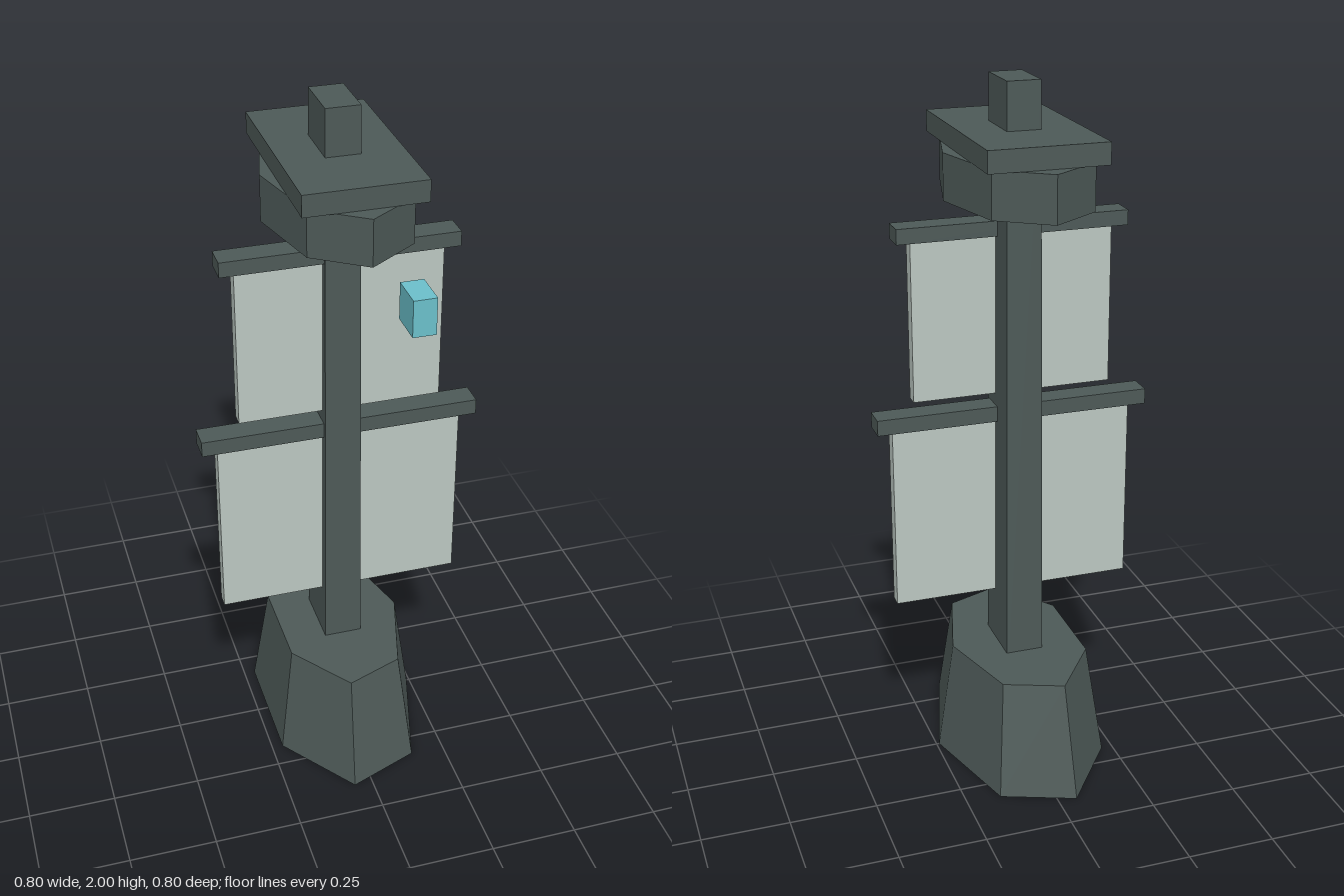
import * as THREE from 'three';

const stone = new THREE.MeshStandardMaterial({ name: 'darkSlate', color: 0x4d5957, flatShading: true });
const cloth = new THREE.MeshStandardMaterial({ name: 'paleCloth', color: 0xbbc7c1, flatShading: true });
const glow = new THREE.MeshStandardMaterial({ name: 'lightBlue', color: 0x6bbfca, flatShading: true });

export function createModel() {
  const group = new THREE.Group();

  const add = (name, geometry, material) => {
    const mesh = new THREE.Mesh(geometry, material);
    mesh.name = name;
    group.add(mesh);
  };

  // Box given by its limits on each axis
  const box = (name, material, [x0, x1], [y0, y1], [z0, z1]) => {
    const g = new THREE.BoxGeometry(x1 - x0, y1 - y0, z1 - z0);
    g.translate((x0 + x1) / 2, (y0 + y1) / 2, (z0 + z1) / 2);
    add(name, g, material);
  };

  // Stretched prism with a corner on +x
  const prism = (name, sides, rx, rz, taper, y0, y1) => {
    const g = new THREE.CylinderGeometry(taper, 1, y1 - y0, sides, 1, false, Math.PI / 2);
    g.scale(rx, 1, rz);
    g.translate(0, (y0 + y1) / 2, 0);
    add(name, g, stone);
  };

  // Seven-sided plinth
  prism('base', 7, 0.242, 0.41, 0.8, 0, 0.33);

  // Tapered square post, running through the cap to the tip
  const post = new THREE.CylinderGeometry(0.84 * Math.SQRT2, Math.SQRT2, 1.8, 4, 1, false, Math.PI / 4);
  post.scale(0.056, 1, 0.093);
  post.translate(0, 1.1, 0);
  add('post', post, stone);

  // Octagonal collar and flat roof slab
  prism('collar', 8, 0.2, 0.335, 1, 1.68, 1.81);
  box('roofSlab', stone, [-0.165, 0.165], [1.81, 1.87], [-0.28, 0.28]);

  // Crossbars with hanging banners: bar half-width, banner half-width, banner bottom, bar bottom, bar top
  for (const [level, bar, banner, low, y0, y1] of [
    ['upper', 0.332, 0.29, 1.11, 1.57, 1.613],
    ['lower', 0.4, 0.354, 0.49, 1.03, 1.075],
  ]) {
    box(level + 'Crossbar', stone, [-bar, bar], [y0, y1], [0, 0.073]);
    box(level + 'Banner', cloth, [-banner, banner], [low, y0], [0.018, 0.058]);
  }

  // Small floating lamp
  box('lamp', glow, [0.142, 0.209], [1.408, 1.517], [0.13, 0.241]);

  return group;
}
